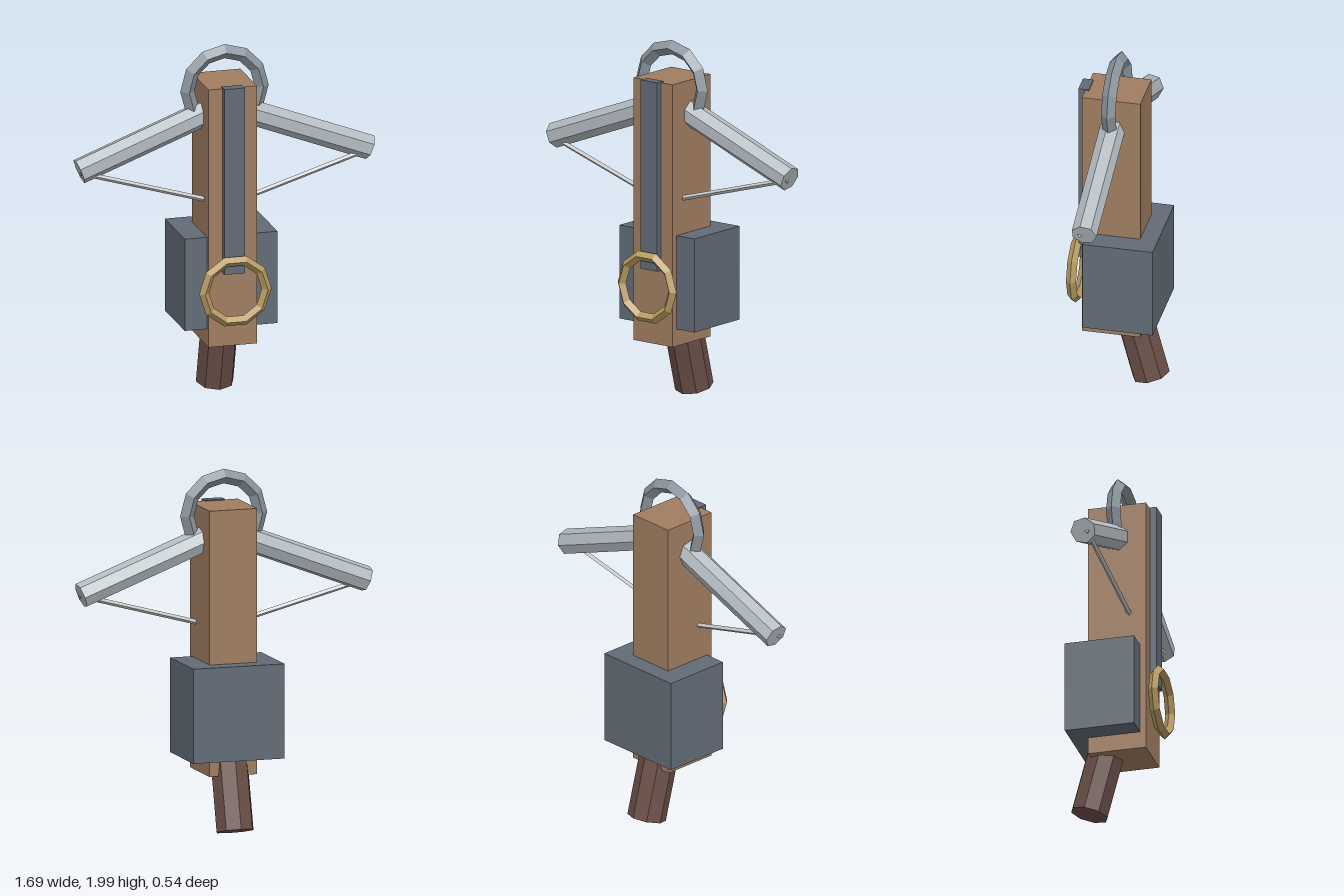
import * as THREE from 'three';

const mat = (color) => new THREE.MeshStandardMaterial({ color, flatShading: true });

export function createModel() {
  const model = new THREE.Group();
  const wood = mat(0xa07d60), darkWood = mat(0x6b5048), iron = mat(0x626b76);
  const steel = mat(0xb4bcc2), paleSteel = mat(0x8d969f), cord = mat(0xe0e0e0), brass = mat(0xb89c62);

  const add = (name, geometry, material, x = 0, y = 0, z = 0) => {
    const mesh = new THREE.Mesh(geometry, material);
    mesh.name = name;
    mesh.position.set(x, y, z);
    model.add(mesh);
    return mesh;
  };

  // Box given by half width, y range and z range
  const block = (name, material, halfX, y0, y1, z0, z1) =>
    add(name, new THREE.BoxGeometry(halfX * 2, y1 - y0, z1 - z0), material, 0, (y0 + y1) / 2, (z0 + z1) / 2);

  // Faceted rod between two points
  const rod = (name, material, a, b, radius, sides, thetaStart = 0) => {
    const from = new THREE.Vector3(...a), to = new THREE.Vector3(...b);
    const dir = to.clone().sub(from);
    const geometry = new THREE.CylinderGeometry(radius, radius, dir.length(), sides, 1, false, thetaStart);
    const mid = from.add(to).multiplyScalar(0.5);
    const mesh = add(name, geometry, material, mid.x, mid.y, mid.z);
    mesh.quaternion.setFromUnitVectors(new THREE.Vector3(0, 1, 0), dir.normalize());
  };

  // Body
  block('stock', wood, 0.137, 0.335, 1.8, -0.133, 0.193);
  block('rail', iron, 0.057, 0.752, 1.806, 0.172, 0.23);
  block('housing', iron, 0.262, 0.43, 0.952, -0.23, 0.16);

  // Slanted octagonal grip
  rod('grip', darkWood, [0, 0.033, -0.163], [0, 0.516, -0.034], 0.106, 8);

  // Mirrored bow limbs and string halves
  for (const side of [1, -1]) {
    const label = side > 0 ? 'left' : 'right';
    rod(label + 'Limb', steel, [side * 0.06, 1.638, 0.026], [side * 0.82, 1.346, 0.026], 0.071, 7, Math.PI);
    rod(label + 'String', cord, [0, 1.113, 0.108], [side * 0.82, 1.343, 0.048], 0.014, 4);
  }

  // Open stirrup hoop at the top
  const stirrup = add('stirrup', new THREE.TorusGeometry(0.21, 0.04, 4, 8, Math.PI * 4 / 3), paleSteel, 0, 1.75, 0.029);
  stirrup.rotation.z = -Math.PI / 6;

  // Ten-sided ring in front of the rail
  add('ring', new THREE.TorusGeometry(0.177, 0.028, 4, 10), brass, 0, 0.659, 0.244);

  return model;
}
